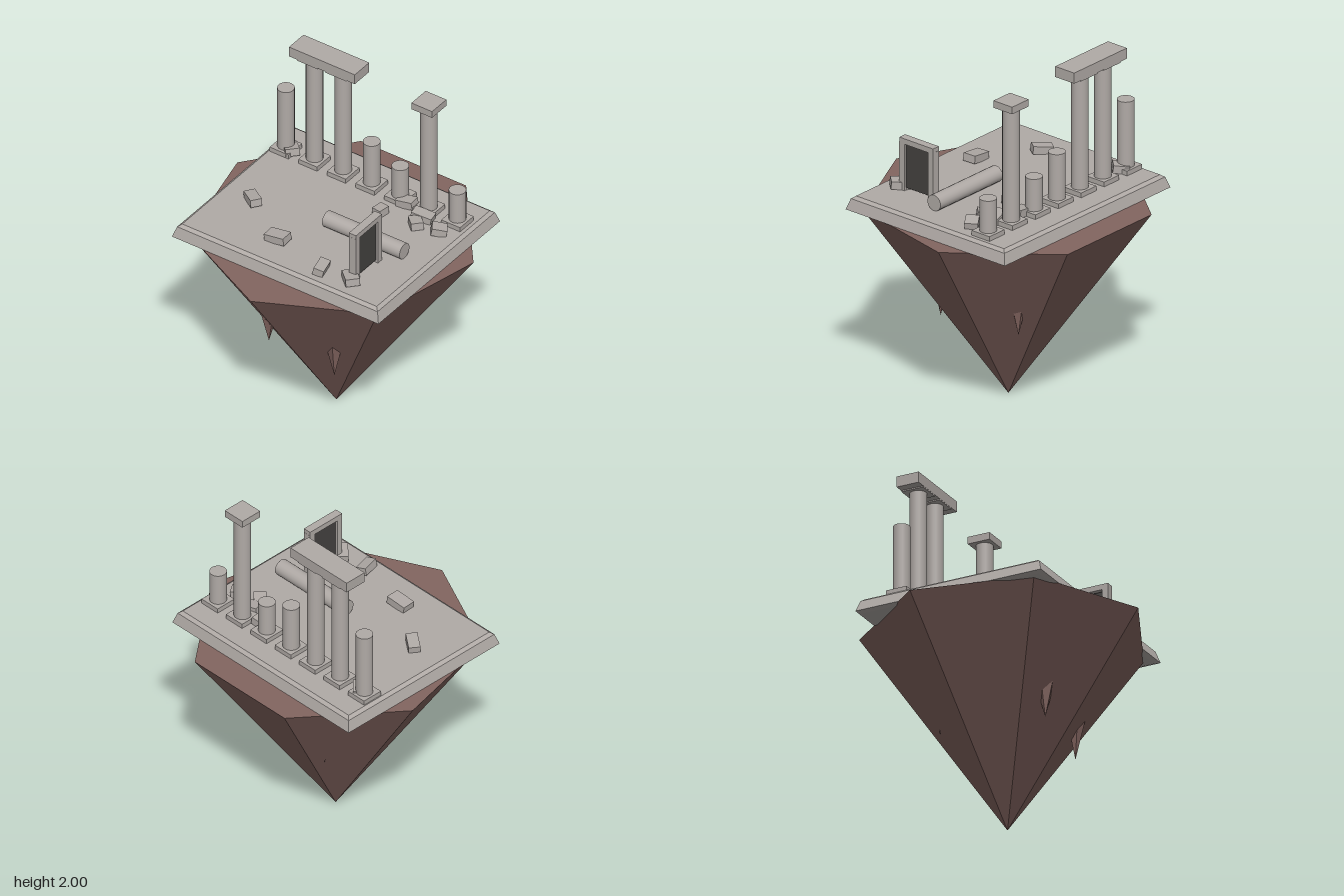
import * as THREE from 'three';

export function createModel() {
  const model = new THREE.Group();
  model.name = 'floatingRuin';
  const stone = new THREE.MeshStandardMaterial({ color: 0xb0aaa6 });
  stone.name = 'stone';
  const rock = new THREE.MeshStandardMaterial({ color: 0x836560 });
  rock.name = 'rock';
  const dark = new THREE.MeshStandardMaterial({ color: 0x444240 });
  dark.name = 'darkDoor';

  const add = (name, geometry, material, x, y, z, parent = model) => {
    const mesh = new THREE.Mesh(geometry, material);
    mesh.name = name;
    mesh.position.set(x, y, z);
    parent.add(mesh);
    return mesh;
  };
  const box = (name, w, h, d, x, y, z, parent, material = stone) =>
    add(name, new THREE.BoxGeometry(w, h, d), material, x, y, z, parent);
  const facet = (geometry) => {
    const g = geometry.toNonIndexed();
    g.computeVertexNormals();
    return g;
  };
  // Faceted cone with its point down at y
  const spike = (name, r, h, sides, x, y, z, turn = 0) => {
    const g = new THREE.ConeGeometry(r, h, sides);
    g.rotateZ(Math.PI);
    g.rotateY(turn);
    return add(name, facet(g), rock, x, y + h / 2, z);
  };

  // Hanging rock and its small spurs
  spike('rockBody', 0.805, 1.156, 7, 0, 0, -0.043);
  spike('rockSpur', 0.06, 0.26, 5, 0.205, 0.44, 0.265, 0.4);
  spike('rockSpur', 0.06, 0.22, 5, -0.205, 0.52, 0.3, 1.0);
  spike('rockSpur', 0.06, 0.24, 5, 0.26, 0.52, -0.34, 0.2);
  spike('rockSpur', 0.05, 0.22, 5, -0.22, 0.55, -0.34, 0.7);

  // Bevelled slab: each row of the box gets its own height and inset
  const rows = [[1.147, 0.028], [1.157, 0], [1.22, 0.02], [1.235, 0.04]];
  const slab = new THREE.BoxGeometry(1, 1, 1, 1, 3, 1);
  const p = slab.attributes.position;
  for (let i = 0; i < p.count; i++) {
    const [y, inset] = rows[Math.round((p.getY(i) + 0.5) * 3)];
    p.setXYZ(i, Math.sign(p.getX(i)) * (0.686 - inset), y,
      Math.sign(p.getZ(i)) * (0.571 - inset));
  }
  add('slab', facet(slab), stone, 0, 0, -0.04);

  // Row of whole and broken columns
  const floor = 1.235, rowZ = -0.385;
  const tops = [1.655, 1.94, 1.94, 1.537, 1.455, 1.94, 1.455];
  tops.forEach((top, i) => {
    const x = -0.577 + i * 0.19;
    const column = new THREE.Group();
    column.name = 'column';
    model.add(column);
    box('columnBase', 0.125, 0.03, 0.128, x, floor + 0.013, rowZ, column);
    add('columnShaft', new THREE.CylinderGeometry(0.048, 0.048, top - floor, 20),
      stone, x, (top + floor) / 2, rowZ, column);
    if (top > 1.9) box('columnCapital', 0.137, 0.042, 0.134, x, 1.951, rowZ, column);
  });
  box('lintel', 0.437, 0.063, 0.136, -0.29, 1.9685, rowZ);

  // Fallen column
  const fallen = new THREE.CylinderGeometry(0.047, 0.047, 0.515, 20);
  fallen.rotateZ(Math.PI / 2);
  add('fallenColumn', fallen, stone, 0.2575, 1.28, 0.045);

  // Doorway standing side-on
  const door = new THREE.Group();
  door.name = 'doorway';
  model.add(door);
  for (const z of [0.148, 0.354]) box('doorPost', 0.048, 0.29, 0.037, 0.401, 1.375, z, door);
  box('doorLintel', 0.048, 0.032, 0.242, 0.401, 1.529, 0.251, door);
  box('doorPanel', 0.02, 0.256, 0.172, 0.401, 1.378, 0.251, door, dark);

  // Loose blocks: x, z, width, depth, turn, tilt
  const blocks = [
    [-0.45, 0.105, 0.115, 0.065, -0.62, 0.12],
    [-0.14, 0.31, 0.125, 0.08, 0.05, 0.12],
    [0.215, 0.4, 0.06, 0.11, 0.25, -0.2],
    [0.4, 0.385, 0.11, 0.08, -0.75, 0.1],
    [0.178, -0.207, 0.06, 0.07, -0.15, 0.05],
    [0.4, -0.225, 0.09, 0.07, -0.75, 0.1],
    [0.538, -0.248, 0.085, 0.075, 0.6, -0.2],
    [0.25, -0.35, 0.105, 0.07, 0.08, 0.15],
    [0.395, -0.3, 0.12, 0.07, 0.2, -0.15],
    [-0.54, -0.38, 0.09, 0.08, -0.75, 0.15],
  ];
  for (const [x, z, w, d, turn, tilt] of blocks) {
    const block = box('looseBlock', w, 0.045, d, x, 1.258, z);
    block.rotation.set(0, turn, tilt);
  }
  return model;
}
